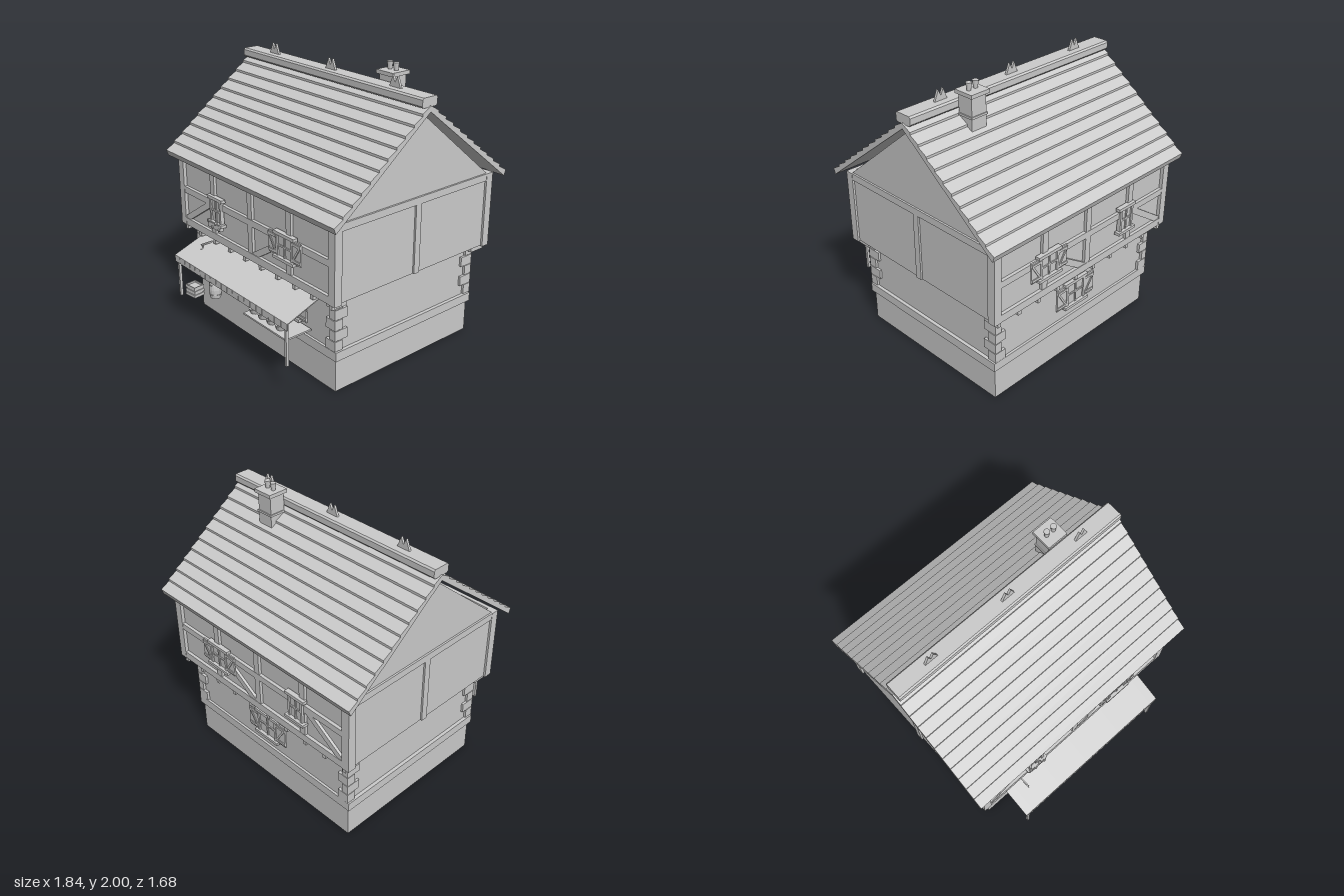
import * as THREE from 'three';

const MID = -0.07; // z of the ridge line
const mat = new THREE.MeshStandardMaterial({ color: 0xcccccc, flatShading: true });
const smooth = new THREE.MeshStandardMaterial({ color: 0xcccccc, side: THREE.DoubleSide });

function add(parent, name, geo, x = 0, y = 0, z = 0, m = mat) {
  const mesh = new THREE.Mesh(geo, m);
  mesh.name = name;
  mesh.position.set(x, y, z);
  parent.add(mesh);
  return mesh;
}

// Box given by its limits on each axis
function block(parent, name, x0, x1, y0, y1, z0, z1) {
  return add(parent, name, new THREE.BoxGeometry(x1 - x0, y1 - y0, z1 - z0),
    (x0 + x1) / 2, (y0 + y1) / 2, (z0 + z1) / 2);
}

// Sloping bar between two points in the xy plane
function bar(parent, name, xa, ya, xb, yb, width, depth, z) {
  const geo = new THREE.BoxGeometry(Math.hypot(xb - xa, yb - ya), width, depth);
  add(parent, name, geo, (xa + xb) / 2, (ya + yb) / 2, z).rotation.z = Math.atan2(yb - ya, xb - xa);
}

// Cross-section in (z, y), measured from the ridge line, drawn out along x
function profileX(parent, name, points, length) {
  const shape = new THREE.Shape(points.map(([z, y]) => new THREE.Vector2(z, y)));
  const geo = new THREE.ExtrudeGeometry(shape, { depth: length, bevelEnabled: false });
  geo.translate(0, 0, -length / 2).rotateY(-Math.PI / 2);
  return add(parent, name, geo, 0, 0, MID);
}

function group(parent, name, x = 0, y = 0, z = 0) {
  const g = new THREE.Group();
  g.name = name;
  g.position.set(x, y, z);
  parent.add(g);
  return g;
}

// Window centred on its own origin, facing +z; shutterW = 0 leaves off the shutters
function makeWindow(parent, x, y, z, w, h, shutterW) {
  const g = group(parent, 'window', x, y, z);
  const a = w / 2, b = h / 2;
  block(g, 'windowPane', -a, a, -b, b, -0.02, 0.004);
  for (const s of [-1, 1]) {
    add(g, 'windowJamb', new THREE.BoxGeometry(0.018, h, 0.03), s * a, 0, 0);
    if (!shutterW) continue;
    const c = s * (a + 0.009 + shutterW / 2);
    add(g, 'shutter', new THREE.BoxGeometry(shutterW, h, 0.01), c, 0, 0.005);
    for (const t of [-1, 1])
      add(g, 'shutterBatten', new THREE.BoxGeometry(shutterW, 0.018, 0.01), c, t * h * 0.36, 0.012);
    bar(g, 'shutterBrace', c - s * shutterW * 0.4, -h * 0.33, c + s * shutterW * 0.4, h * 0.33, 0.014, 0.008, 0.012);
  }
  block(g, 'windowLintel', -a - 0.03, a + 0.03, b - 0.005, b + 0.018, -0.015, 0.02);
  block(g, 'windowSill', -a - 0.03, a + 0.03, -b - 0.018, -b + 0.003, -0.015, 0.028);
  block(g, 'windowMullion', -0.006, 0.006, -b, b, 0, 0.012);
  block(g, 'windowBar', -a, a, -0.006, 0.006, 0, 0.012);
  return g;
}

// Timber frame and windows of one long upper wall, outer face at z = 0.71 from the ridge line
function makeTimberWall(parent) {
  const z0 = 0.68, z1 = 0.71;
  for (const [y0, y1] of [[0.68, 0.735], [0.935, 0.982], [1.17, 1.22]])
    block(parent, 'rail', -0.81, 0.81, y0, y1, z0, z1 - 0.002);
  for (const x of [-0.44, -0.005, 0.41])
    block(parent, 'post', x - 0.024, x + 0.024, 0.7, 1.2, z0, z1 - 0.004);
  bar(parent, 'brace', -0.81, 0.72, -0.44, 0.965, 0.045, 0.024, 0.692);
  bar(parent, 'brace', 0.02, 0.72, 0.4, 0.965, 0.045, 0.024, 0.692);
  makeWindow(parent, -0.39, 0.92, 0.708, 0.115, 0.17, 0);
  makeWindow(parent, 0.383, 0.915, 0.708, 0.15, 0.155, 0.08);
  // joist ends under the overhang
  for (let i = 0; i < 10; i++) {
    const x = -0.81 + i * 0.18;
    block(parent, 'joist', x - 0.014, x + 0.014, 0.643, 0.685, 0.58, 0.7);
  }
}

function makeRoof(parent) {
  // stepped courses on the top face, plain underside
  const n = 11, run = 0.77, slope = 0.785, side = [];
  const top = d => 1.838 - slope * d;
  for (let i = 0; i < n; i++) {
    side.push([(i * run) / n, top((i * run) / n) - 0.008]);
    side.push([((i + 1) * run) / n, top(((i + 1) * run) / n) + 0.008]);
  }
  side.push([0.755, 1.2]);
  const mirrored = side.slice(1).reverse().map(([z, y]) => [-z, y]);
  profileX(parent, 'roof', [...mirrored, ...side, [0, 1.792]], 1.84);

  // ridge cap with chamfered edges
  const cap = [[-0.065, 1.832], [-0.055, 1.82], [0.055, 1.82], [0.065, 1.832],
    [0.065, 1.873], [0.055, 1.885], [-0.055, 1.885], [-0.065, 1.873]];
  profileX(parent, 'ridgeCap', cap, 1.82);

  // paired ridge spikes
  const s = new THREE.Shape([[-0.05, 0], [0.05, 0], [0.02, 0.075], [0, 0.03], [-0.02, 0.075]]
    .map(p => new THREE.Vector2(...p)));
  const spike = new THREE.ExtrudeGeometry(s, { depth: 0.016, bevelEnabled: false });
  for (const x of [-0.615, 0, 0.615]) add(parent, 'ridgeSpike', spike, x, 1.884, MID - 0.008);
}

function makeChimney(parent) {
  const g = group(parent, 'chimney', 0.463, 0, -0.193);
  block(g, 'shaft', -0.061, 0.061, 1.62, 1.93, -0.058, 0.058);
  block(g, 'band', -0.068, 0.068, 1.78, 1.795, -0.065, 0.065);
  block(g, 'chimneyCap', -0.077, 0.077, 1.922, 1.948, -0.075, 0.075);
  for (const x of [-0.028, 0.028])
    add(g, 'chimneyPot', new THREE.CylinderGeometry(0.021, 0.014, 0.054, 12), x, 1.973, 0);
}

// Interlocking corner stones; long faces alternate between front and side
function makeQuoins(parent) {
  for (const sx of [-1, 1]) for (const sz of [-1, 1]) for (let i = 0; i < 5; i++) {
    const lx = i % 2 ? 0.05 : 0.088, lz = i % 2 ? 0.105 : 0.065;
    add(parent, 'cornerStone', new THREE.BoxGeometry(lx, 0.07, lz),
      sx * (0.782 - lx / 2), 0.34 + i * 0.075, MID + sz * (0.638 - lz / 2));
  }
}

function makeAwning(parent) {
  const g = group(parent, 'awning');
  const n = 20, pitch = 1.3 / n, tilt = Math.atan2(0.1, 0.275);
  const cloth = new THREE.BoxGeometry(pitch, 0.007, Math.hypot(0.1, 0.275));
  for (let i = 0; i < n; i++) {
    const x = -0.65 + (i + 0.5) * pitch;
    add(g, 'awningStrip', cloth, x, 0.598, 0.702).rotation.x = tilt;
    block(g, 'valanceFlap', x - pitch / 2 + 0.002, x + pitch / 2 - 0.002, 0.502, 0.552, 0.835, 0.842);
  }
  for (const x of [-0.62, 0.62]) block(g, 'awningPost', x - 0.009, x + 0.009, 0.235, 0.55, 0.815, 0.835);
  block(g, 'awningRail', -0.63, 0.63, 0.53, 0.547, 0.815, 0.833);
}

function makeShopFront(parent) {
  // door
  const d = group(parent, 'door', -0.3, 0, 0.55);
  block(d, 'doorLeaf', -0.1, 0.1, 0.3, 0.6, -0.01, 0.01);
  for (const s of [-1, 1]) block(d, 'doorJamb', s * 0.108 - 0.012, s * 0.108 + 0.012, 0.3, 0.62, -0.01, 0.022);
  block(d, 'doorLintel', -0.125, 0.125, 0.595, 0.625, -0.01, 0.024);
  block(d, 'doorStep', -0.1, 0.12, 0.28, 0.3, 0, 0.06);

  makeWindow(parent, 0.31, 0.475, 0.555, 0.19, 0.17, 0.08);

  // counter with baskets of produce
  block(parent, 'counter', 0.08, 0.54, 0.353, 0.365, 0.56, 0.77);
  for (const x of [0.125, 0.22, 0.315, 0.41]) {
    const b = group(parent, 'basket', x, 0.365, 0.707);
    add(b, 'bowl', new THREE.CylinderGeometry(0.042, 0.03, 0.034, 12), 0, 0.017, 0);
    for (let k = 0; k < 5; k++)
      add(b, 'fruit', new THREE.SphereGeometry(0.013, 8, 6), 0.024 * Math.cos(k * 1.257), 0.036, 0.024 * Math.sin(k * 1.257), smooth);
  }

  // barrel with hoops
  const barrel = group(parent, 'barrel', -0.43, 0.237, 0.655);
  const prof = [[0, 0], [0.038, 0], [0.045, 0.04], [0.047, 0.068], [0.045, 0.096], [0.038, 0.136], [0, 0.136]];
  add(barrel, 'staves', new THREE.LatheGeometry(prof.map(p => new THREE.Vector2(...p)), 16), 0, 0, 0);
  for (const y of [0.03, 0.106]) {
    const hoop = add(barrel, 'hoop', new THREE.TorusGeometry(0.0435, 0.003, 6, 20), 0, y, 0, smooth);
    hoop.rotation.x = Math.PI / 2;
  }

  // open slatted crate
  const crate = group(parent, 'crate', -0.555, 0.237, 0.75);
  crate.rotation.y = 0.12;
  block(crate, 'crateBody', -0.044, 0.044, 0, 0.07, -0.038, 0.038);
  for (const s of [-1, 1]) for (const y of [0.012, 0.042, 0.073]) {
    add(crate, 'crateSlat', new THREE.BoxGeometry(0.102, 0.022, 0.006), 0, y, s * 0.041);
    add(crate, 'crateSlat', new THREE.BoxGeometry(0.006, 0.022, 0.082), s * 0.048, y, 0);
  }

  // blank hanging board on its bracket
  block(parent, 'signBracket', -0.516, -0.506, 0.63, 0.64, 0.55, 0.705);
  block(parent, 'signBoard', -0.516, -0.506, 0.53, 0.605, 0.618, 0.708);
  for (const z of [0.635, 0.69]) block(parent, 'signHanger', -0.513, -0.509, 0.6, 0.635, z - 0.002, z + 0.002);

  // planter under the upper left window
  block(parent, 'planter', -0.465, -0.315, 0.79, 0.83, 0.64, 0.668);
  for (let k = 0; k < 4; k++)
    add(parent, 'flower', new THREE.IcosahedronGeometry(0.016, 0), -0.45 + k * 0.04, 0.835 - (k % 2) * 0.035, 0.662);
}

export function createModel() {
  const house = new THREE.Group();
  house.name = 'house';

  // ground floor
  block(house, 'foundation', -0.77, 0.77, 0, 0.24, MID - 0.62, MID + 0.62);
  block(house, 'plinth', -0.79, 0.79, 0.235, 0.3, MID - 0.635, MID + 0.635);
  block(house, 'groundWalls', -0.765, 0.765, 0.29, 0.69, MID - 0.618, MID + 0.618);
  makeQuoins(house);

  // upper floor and gables
  const body = [[-0.685, 0.685], [0.685, 0.685], [0.685, 1.2], [0.66, 1.22], [0, 1.77], [-0.66, 1.22], [-0.685, 1.2]];
  profileX(house, 'upperWalls', body, 1.69);
  for (const sx of [-1, 1]) {
    for (const sz of [-1, 1])
      add(house, 'cornerPost', new THREE.BoxGeometry(0.06, 0.54, 0.06), sx * 0.83, 0.95, MID + sz * 0.68);
    add(house, 'sidePost', new THREE.BoxGeometry(0.03, 0.5, 0.048), sx * 0.843, 0.935, MID);
    add(house, 'sideRail', new THREE.BoxGeometry(0.03, 0.05, 1.34), sx * 0.843, 1.195, MID);
  }

  // long timber walls, front and mirrored back
  for (const s of [1, -1]) {
    const wall = group(house, s > 0 ? 'frontTimberWall' : 'backTimberWall', 0, 0, MID);
    wall.scale.z = s;
    makeTimberWall(wall);
  }

  makeRoof(house);
  makeChimney(house);
  makeShopFront(house);
  makeAwning(house);

  // ground floor back window
  const back = makeWindow(house, 0.01, 0.475, -0.693, 0.17, 0.17, 0.09);
  back.rotation.y = Math.PI;
  return house;
}
